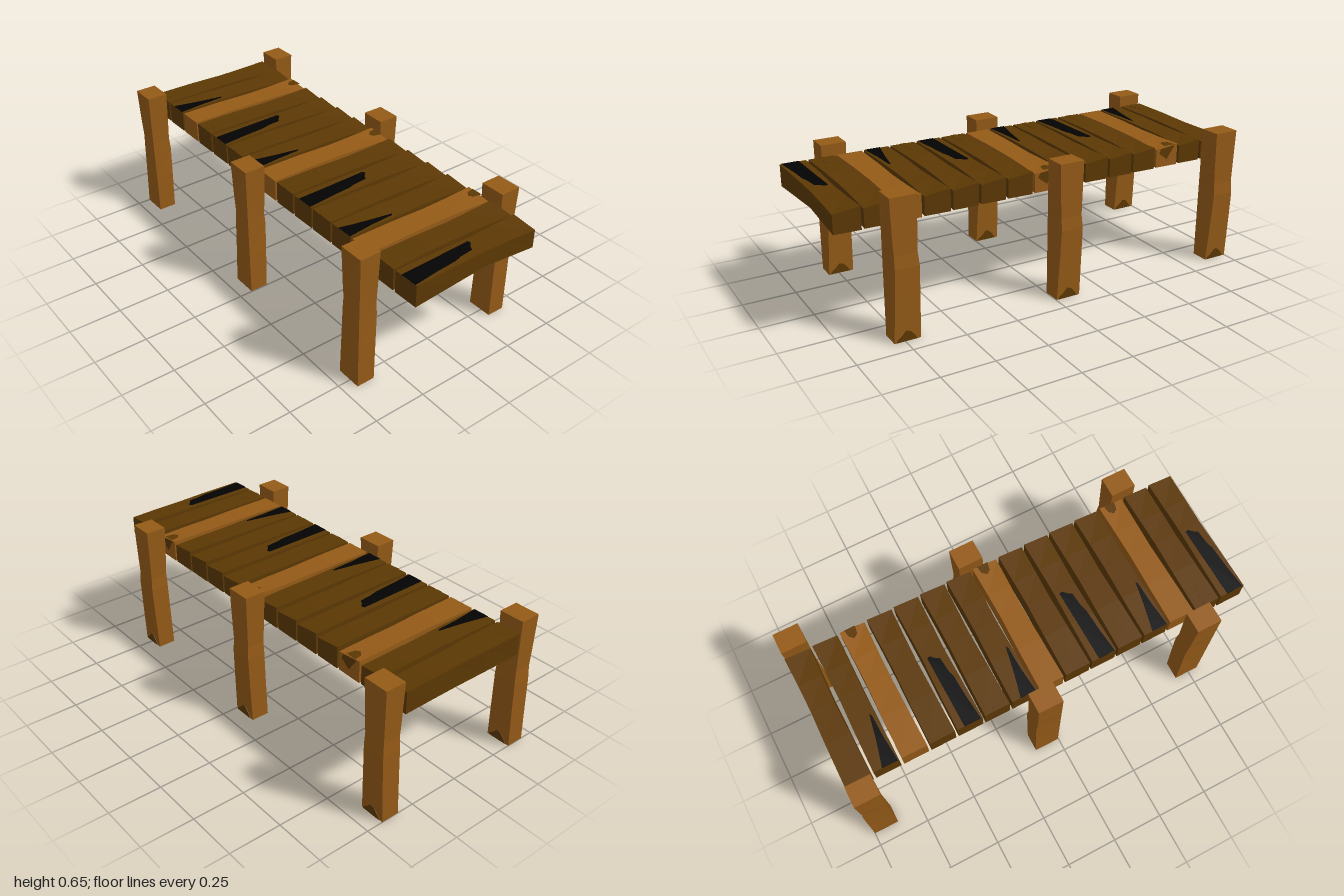
import * as THREE from 'three';

const darkWood = new THREE.MeshStandardMaterial({ name: 'dark wood', color: 0x5c3804, side: THREE.DoubleSide });
const lightWood = new THREE.MeshStandardMaterial({ name: 'light wood', color: 0x945a17, side: THREE.DoubleSide });
const charred = new THREE.MeshStandardMaterial({ name: 'charred wood', color: 0x030303 });

// Flat-faced solid through four-cornered sections, with the given number of
// long sides; group 0 = sides and end cap, group 1 = start cap
function loft(sections, sideCount) {
  const pos = [];
  const quad = (a, b, c, d) => pos.push(...a, ...b, ...c, ...a, ...c, ...d);
  for (let i = 0; i < sections.length - 1; i++) {
    const s = sections[i], t = sections[i + 1];
    for (let j = 0; j < sideCount; j++) {
      const k = (j + 1) % 4;
      quad(s[j], s[k], t[k], t[j]);
    }
  }
  quad(...sections[sections.length - 1]);
  const count = pos.length / 3;
  quad(...[...sections[0]].reverse());
  const geo = new THREE.BufferGeometry();
  geo.setAttribute('position', new THREE.Float32BufferAttribute(pos, 3));
  geo.computeVertexNormals();
  geo.addGroup(0, count, 0);
  geo.addGroup(count, 6, 1);
  return geo;
}

// Thin plate from outline points, extruded along +z
function plate(points, depth) {
  const shape = new THREE.Shape(points.map(([x, y]) => new THREE.Vector2(x, y)));
  return new THREE.ExtrudeGeometry(shape, { depth, bevelEnabled: false });
}

// Plate lying on the deck: outline in x and z
function topPlate(points, y) {
  return plate(points.map(([x, z]) => [x, -z]), 0.0015).rotateX(-Math.PI / 2).translate(0, y, 0);
}

// Plate on a +x face: outline in z and y
function sidePlate(points, x, depth) {
  return plate(points.map(([z, y]) => [-z, y]), depth).rotateY(Math.PI / 2).translate(x, 0, 0);
}

// Plank stations: x, front inset, back inset, back top, front top, front bottom
const plankStations = [
  [-0.325, 0, 0, 0.604, 0.604, 0.501],
  [-0.12, 0.004, 0.002, 0.604, 0.604, 0.514],
  [0.05, 0.007, 0.006, 0.601, 0.6, 0.525],
  [0.18, 0.004, 0.004, 0.601, 0.597, 0.514],
  [0.325, 0, 0, 0.603, 0.59, 0.502],
];
// Planks are hollow below: back, top and front sides only
const plankGeo = loft(plankStations.map(([x, f, b, backTop, frontTop, bottom]) => [
  [x, 0.5, -0.061 + b * 0.5],
  [x, backTop, -0.061 + b],
  [x, frontTop, 0.061 - f],
  [x, bottom, 0.061 - f * 0.5],
]), 3);

// Post stations: y, +x face, -z face, pinch of the two opposite corners
const postStations = [
  [0, 0.036, -0.061, 0],
  [0.2, 0.045, -0.061, 0.007],
  [0.34, 0.05, -0.061, 0.011],
  [0.4, 0.045, -0.056, 0.011],
  [0.47, 0.046, -0.057, 0.007],
  [0.655, 0.049, -0.06, 0],
];
const postGeo = loft(postStations.map(([y, x, z, p]) => [
  [-0.051, y, 0.061],
  [x, y, 0.061 - p],
  [x, y, z],
  [-0.051 + p, y, z],
]), 4);

const longChar = topPlate([[-0.325, -0.027], [-0.15, -0.03], [0.03, -0.034],
  [0.035, -0.02], [0.015, 0], [0.005, 0.018], [-0.06, 0.024], [-0.1, 0.034],
  [-0.2, 0.04], [-0.325, 0.053]], 0.6045);
const shortChar = topPlate([[-0.325, -0.02], [-0.26, -0.004], [-0.2, 0.01],
  [-0.08, 0.033], [-0.09, 0.04], [-0.2, 0.044], [-0.325, 0.056]], 0.6045);
const splinter = topPlate([[-0.325, -0.012], [-0.28, -0.014], [-0.22, 0.002],
  [-0.28, 0.012], [-0.325, 0.01]], 0.6042);
const knotTop = topPlate([[0.325, -0.037], [0.29, -0.032], [0.272, -0.012],
  [0.285, 0.008], [0.325, 0.016]], 0.603);
const knotEnd = sidePlate([[-0.045, 0.6], [0.035, 0.59], [0.045, 0.57], [0, 0.535]], 0.3252, 0.0015);
const chipGeo = sidePlate([[-0.045, 0.002], [-0.03, 0.025], [-0.012, 0.045],
  [0.008, 0.05], [0.025, 0.03], [0.048, 0.012], [0.05, 0.002]], 0.035, 0.005);

function add(parent, name, geo, material) {
  const mesh = new THREE.Mesh(geo, material);
  mesh.name = name;
  parent.add(mesh);
}

export function createModel() {
  const model = new THREE.Group();
  model.name = 'woodenDock';

  // Deck: a pattern of five planks, repeated three times
  const pattern = ['plain', 'shortChar', 'light', 'plain', 'longChar'];
  for (let i = 0; i < 15; i++) {
    const kind = pattern[i % 5];
    const plank = new THREE.Group();
    plank.name = 'plank' + (i + 1);
    plank.position.z = -0.939 + i * 0.13414;
    const wood = kind === 'light' ? lightWood : darkWood;
    add(plank, 'board', plankGeo, [wood, wood]);
    if (kind === 'plain') add(plank, 'splinter', splinter, darkWood);
    if (kind === 'shortChar') add(plank, 'shortCharredPatch', shortChar, charred);
    if (kind === 'longChar') add(plank, 'longCharredPatch', longChar, charred);
    if (kind === 'light') {
      add(plank, 'knotTop', knotTop, darkWood);
      add(plank, 'knotEnd', knotEnd, darkWood);
    }
    model.add(plank);
  }

  // Posts in three pairs, all turned the same way
  for (const z of [-0.939, -0.064, 0.739]) {
    for (const [side, x] of [['left', 0.384], ['right', -0.386]]) {
      const post = new THREE.Group();
      post.name = side + 'Post';
      post.position.set(x, 0, z);
      add(post, 'shaft', postGeo, [lightWood, darkWood]);
      add(post, 'footChip', chipGeo, darkWood);
      model.add(post);
    }
  }
  return model;
}
